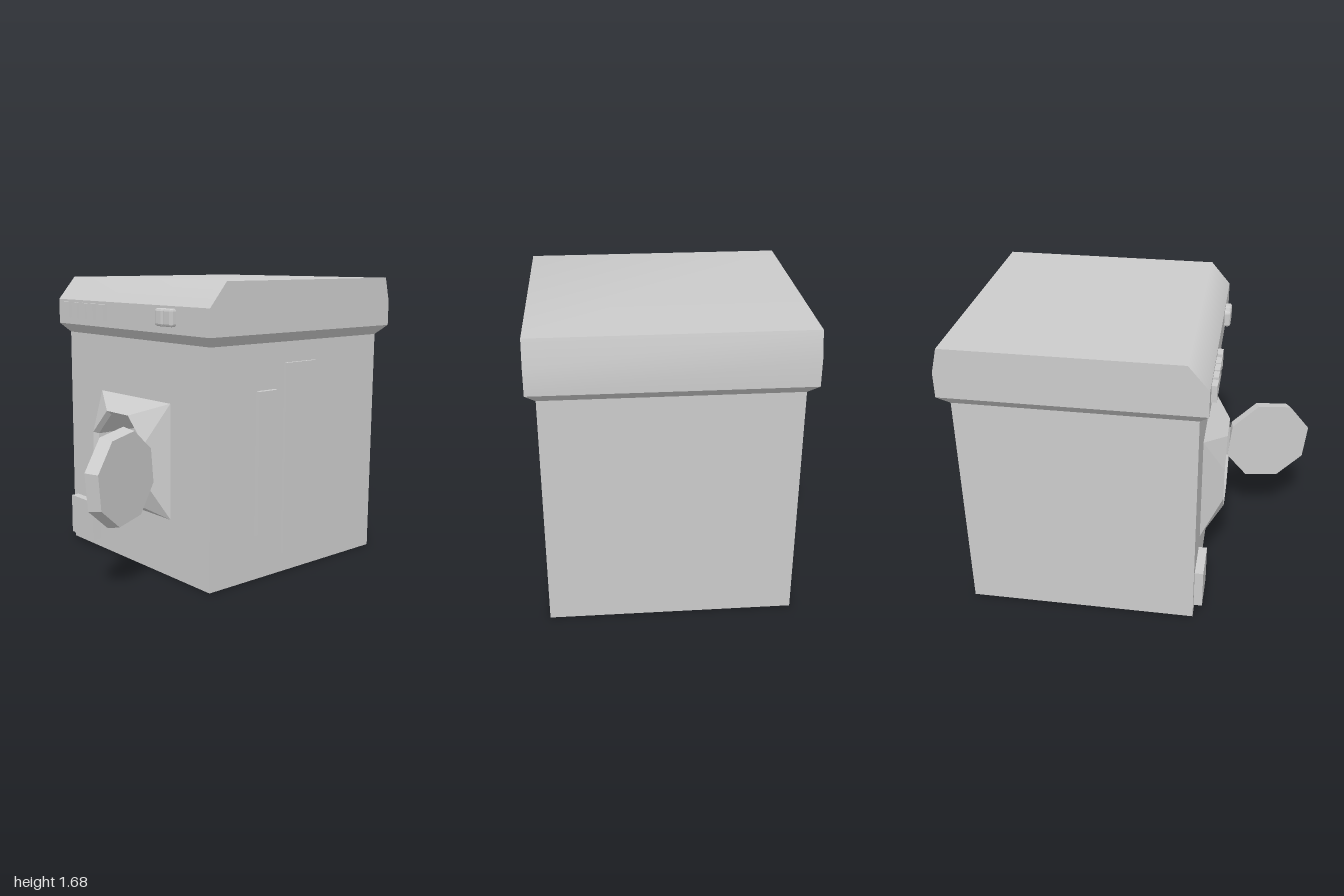
import * as THREE from 'three';
import { RoundedBoxGeometry } from 'three/addons/geometries/RoundedBoxGeometry.js';

const flat = new THREE.MeshStandardMaterial({ color: 0xcccccc, flatShading: true });
const smooth = new THREE.MeshStandardMaterial({ color: 0xcccccc });

function add(parent, name, geometry, material = flat) {
  const mesh = new THREE.Mesh(geometry, material);
  mesh.name = name;
  parent.add(mesh);
  return mesh;
}

// Box given by its minimum and maximum corners
function block(parent, name, [x0, y0, z0], [x1, y1, z1]) {
  const mesh = add(parent, name, new THREE.BoxGeometry(x1 - x0, y1 - y0, z1 - z0));
  mesh.position.set((x0 + x1) / 2, (y0 + y1) / 2, (z0 + z1) / 2);
  return mesh;
}

// Faceted skin through closed rings of [x, y, z] points, with optional end caps
function loft(rings, capStart = false, capEnd = false) {
  const out = [];
  const same = (p, q) => p.every((v, i) => Math.abs(v - q[i]) < 1e-6);
  const tri = (a, b, c) => {
    if (!same(a, b) && !same(b, c) && !same(a, c)) out.push(...a, ...b, ...c);
  };
  const n = rings[0].length;
  for (let r = 0; r < rings.length - 1; r++) {
    for (let i = 0; i < n; i++) {
      const j = (i + 1) % n, a = rings[r], b = rings[r + 1];
      tri(a[i], a[j], b[j]);
      tri(a[i], b[j], b[i]);
    }
  }
  const last = rings[rings.length - 1];
  for (let i = 1; i < n - 1; i++) {
    if (capStart) tri(rings[0][0], rings[0][i + 1], rings[0][i]);
    if (capEnd) tri(last[0], last[i], last[i + 1]);
  }
  const g = new THREE.BufferGeometry();
  g.setAttribute('position', new THREE.Float32BufferAttribute(out, 3));
  g.computeVertexNormals();
  return g;
}

function octagon(radius, z, turn = Math.PI / 8) {
  return Array.from({ length: 8 }, (_, i) => {
    const a = turn + i * Math.PI / 4;
    return [radius * Math.cos(a), radius * Math.sin(a), z];
  });
}

// Smooth strip spanning the lid's width along [z, y] points
function strip(points, halfWidth) {
  const pos = [], index = [];
  points.forEach(([z, y], i) => {
    pos.push(-halfWidth, y, z, halfWidth, y, z);
    const a = 2 * i;
    if (i) index.push(a - 2, a - 1, a + 1, a - 2, a + 1, a);
  });
  const g = new THREE.BufferGeometry();
  g.setAttribute('position', new THREE.Float32BufferAttribute(pos, 3));
  g.setIndex(index);
  g.computeVertexNormals();
  return g;
}

export function createModel() {
  const model = new THREE.Group();
  model.name = 'washingMachine';
  const W = 0.67, H = 1.34, F = 0.39, B = -0.94, L = 0.72, doorY = 0.67;

  // Cabinet: open-fronted box closed by a panel with an octagonal hole
  const cabinet = block(model, 'cabinet', [-W, 0, B], [W, H, F]);
  const index = Array.from(cabinet.geometry.index.array);
  index.splice(24, 6);
  cabinet.geometry.setIndex(index);
  cabinet.geometry.clearGroups();

  const front = new THREE.Shape([[-W, 0], [W, 0], [W, H], [-W, H]].map(p => new THREE.Vector2(...p)));
  front.holes.push(new THREE.Path(octagon(0.246, 0).map(([x, y]) => new THREE.Vector2(x, y + doorY))));
  add(model, 'frontPanel', new THREE.ShapeGeometry(front)).position.z = F;

  // Door frame: square base rising to an octagonal rim, then the drum going inwards
  const square = octagon(1, F).map(([x, y, z]) => [Math.sign(x) * 0.333, Math.sign(y) * 0.333, z]);
  const frame = loft([square, octagon(0.27, 0.515), octagon(0.246, 0.49), octagon(0.246, 0.03)], false, true);
  add(model, 'doorFrameAndDrum', frame).position.y = doorY;

  // Open door: thick bevelled octagon swung outwards
  const turn = THREE.MathUtils.degToRad(29);
  const door = add(model, 'door', loft([octagon(0.274, -0.038, turn), octagon(0.258, 0.038, turn)], true, true));
  door.position.set(0.358, 0.642, 0.745);
  door.rotation.y = 1.889;

  // Lid: flared skirt, smooth top strips and flat ends
  const lid = new THREE.Group();
  lid.name = 'lid';
  model.add(lid);
  const rect = (x, y, f, b) => [[x, y, f], [x, y, b], [-x, y, b], [-x, y, f]];
  add(lid, 'lidSkirt', loft([rect(W, H, F, B), rect(L, 1.395, 0.44, -1)]));
  const profile = [[0.44, 1.395], [0.44, 1.545], [0.325, 1.68], [-0.965, 1.68], [-1, 1.54], [-1, 1.395]];
  add(lid, 'lidFront', strip(profile.slice(0, 2), L), smooth);
  add(lid, 'lidTop', strip(profile.slice(1, 4), L), smooth);
  add(lid, 'lidBack', strip(profile.slice(3), L), smooth);
  for (const s of [-1, 1]) {
    const end = new THREE.Shape(profile.map(([z, y]) => new THREE.Vector2(-s * z, y)));
    const mesh = add(lid, s > 0 ? 'lidEndLeft' : 'lidEndRight', new THREE.ShapeGeometry(end));
    mesh.rotation.y = s * Math.PI / 2;
    mesh.position.x = s * L;
  }

  // Control panel buttons and bevelled knobs
  for (const x of [-0.595, -0.5, -0.415, -0.335, -0.23]) {
    block(model, 'button', [x - 0.035, 1.435, 0.43], [x + 0.035, 1.53, 0.47]);
  }
  for (const x of [0.336, 0.411]) {
    add(model, 'knob', new RoundedBoxGeometry(0.073, 0.097, 0.075, 1, 0.014)).position.set(x, 1.483, 0.438);
  }

  // Filter hatch and raised side panels
  block(model, 'filterHatch', [-0.625, 0.05, F - 0.01], [-0.38, 0.292, 0.44]);
  block(model, 'sidePanelFront', [W - 0.01, 0.26, -0.08], [0.7, 1.08, 0.06]);
  block(model, 'sidePanelRear', [W - 0.01, 0.115, -0.395], [0.69, 1.222, -0.155]);

  return model;
}
